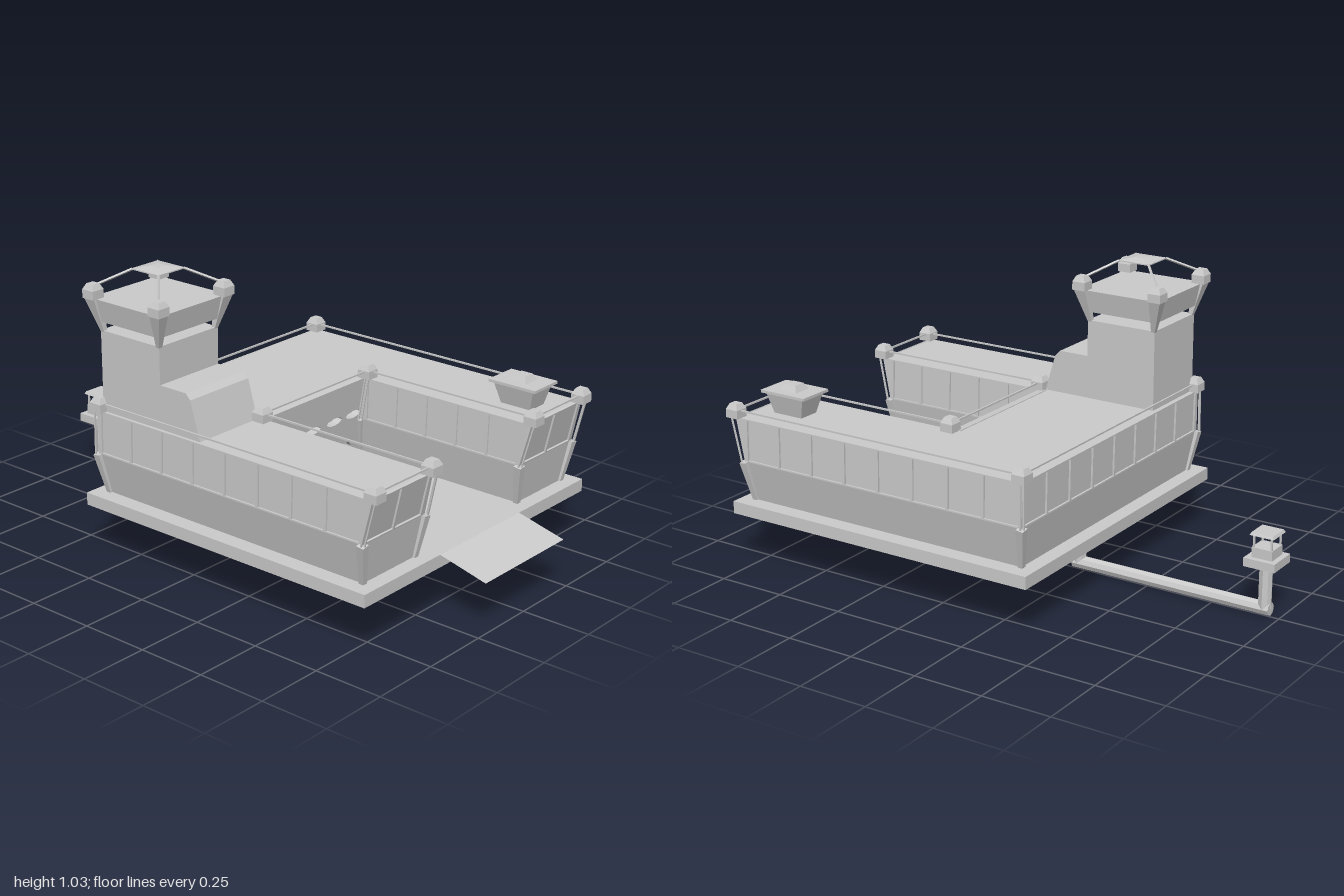
import * as THREE from 'three';

const mat = new THREE.MeshStandardMaterial({ color: 0xcccccc, flatShading: true, side: THREE.DoubleSide });
const V = (x, y, z) => new THREE.Vector3(x, y, z);

export function createModel() {
  const root = new THREE.Group();

  const add = (name, geo, x = 0, y = 0, z = 0) => {
    const m = new THREE.Mesh(geo, mat);
    m.name = name;
    m.position.set(x, y, z);
    root.add(m);
    return m;
  };
  // Box standing on y, with its top face resized to w1 x d1
  const block = (name, x, y, z, w, h, d, w1 = w, d1 = d) => {
    const g = new THREE.BoxGeometry(w, h, d).translate(0, h / 2, 0);
    const p = g.attributes.position;
    for (let i = 0; i < p.count; i++) {
      if (p.getY(i) > h / 2) p.setXYZ(i, p.getX(i) * w1 / w, h, p.getZ(i) * d1 / d);
    }
    return add(name, g, x, y, z);
  };
  // Square bar between two points, optionally tapered
  const bar = (name, a, b, t0, t1 = t0) => {
    const dir = b.clone().sub(a);
    const g = new THREE.CylinderGeometry(t1 * Math.SQRT1_2, t0 * Math.SQRT1_2, dir.length(), 4).rotateY(Math.PI / 4);
    const m = add(name, g);
    m.position.copy(a).add(b).multiplyScalar(0.5);
    m.quaternion.setFromUnitVectors(V(0, 1, 0), dir.normalize());
  };
  // Chamfered corner cap
  const cap = (x, y, z) => {
    block('capBase', x, y, z, 0.05, 0.03, 0.05);
    block('capTop', x, y + 0.03, z, 0.05, 0.02, 0.05, 0.03, 0.03);
  };
  const poly = (pts) => new THREE.Shape(pts.map(([x, y]) => new THREE.Vector2(x, y)));
  // Open sheet made of four-cornered faces
  const sheet = (name, quads) => {
    const g = new THREE.BufferGeometry().setFromPoints(quads.flatMap(([a, b, c, d]) => [a, b, c, a, c, d]));
    g.computeVertexNormals();
    add(name, g);
  };

  // Base slab, open underneath, and entrance ramp
  const rim = (y) => [V(-0.605, y, 0.82), V(0.605, y, 0.82), V(0.605, y, -0.4), V(-0.605, y, -0.4)];
  const rimLow = rim(0.18), rimTop = rim(0.225);
  sheet('baseSlab', [rimTop, ...rimLow.map((p, k) => [p, rimLow[(k + 1) % 4], rimTop[(k + 1) % 4], rimTop[k]])]);
  sheet('ramp', [[V(-0.22, 0.18, 1), V(0.22, 0.18, 1), V(0.22, 0.225, 0.82), V(-0.22, 0.225, 0.82)]]);

  // U-shaped building: the same outline at three heights
  const outline = (y, X, F, i, c, B) => [
    V(-X, y, F), V(-i, y, F), V(-i, y, c), V(i, y, c), V(i, y, F), V(X, y, F), V(X, y, B), V(-X, y, B)];
  const low = outline(0.225, 0.545, 0.765, 0.285, 0.085, -0.345);
  const mid = outline(0.37, 0.575, 0.785, 0.262, 0.0995, -0.365);
  const top = outline(0.525, 0.572, 0.82, 0.268, 0.115, -0.368);
  const paneCount = [2, 5, 0, 5, 2, 8, 8, 8];
  const lowerWalls = [];
  for (let k = 0; k < 8; k++) {
    if (k === 2) continue; // the courtyard back wall is made below
    const n = (k + 1) % 8;
    lowerWalls.push([low[k], low[n], mid[n], mid[k]]);
    // Window band: a frame with recessed panes, drawn flat and set on the wall plane
    const u = mid[n].clone().sub(mid[k]).normalize();
    const rise = top[k].clone().sub(mid[k]);
    const s0 = rise.dot(u);
    const v = rise.clone().addScaledVector(u, -s0).normalize();
    const h = rise.dot(v), L = mid[k].distanceTo(mid[n]), s1 = top[n].clone().sub(mid[k]).dot(u);
    const corners = [[0, 0], [L, 0], [s1, h], [s0, h]];
    const frame = poly(corners);
    const m = 0.005, N = paneCount[k];
    const a = 0.01, step = (Math.min(L, s1) - Math.max(0, s0) - 2 * a) / N;
    for (let j = 0; j < N; j++) {
      const l = Math.max(0, s0) + a + j * step + m, r = l + step - 2 * m;
      frame.holes.push(poly([[l, m], [l, h - m], [r, h - m], [r, m]]));
    }
    const place = new THREE.Matrix4().makeBasis(u, v, u.clone().cross(v)).setPosition(mid[k]);
    add('windowFrame', new THREE.ExtrudeGeometry(frame, { depth: 0.008, bevelEnabled: false }).translate(0, 0, -0.008).applyMatrix4(place));
    add('windowPanes', new THREE.ShapeGeometry(poly(corners)).translate(0, 0, -0.007).applyMatrix4(place));
  }
  sheet('lowerWalls', lowerWalls);
  add('roof', new THREE.ShapeGeometry(poly(top.map((p) => [p.x, -p.z]))).rotateX(-Math.PI / 2), 0, 0.525, 0);

  // Courtyard back wall with doorways and long windows
  const court = poly([[-0.285, 0], [0.285, 0], [0.264, 0.146], [0.268, 0.3015], [-0.268, 0.3015], [-0.264, 0.146]]);
  for (const [x, w] of [[-0.19, 0.035], [0, 0.0475], [0.19, 0.035]]) {
    court.holes.push(poly([[x - w, 0.001], [x - w, 0.05], [x - w + 0.015, 0.07], [x + w - 0.015, 0.07], [x + w, 0.05], [x + w, 0.001]]));
  }
  for (const x of [-0.221, -0.116, 0, 0.116, 0.221]) {
    const slot = new THREE.Path();
    slot.absellipse(x, 0.174, 0.041, 0.014, 0, Math.PI * 2);
    court.holes.push(slot);
  }
  const courtWall = add('courtyardWall', new THREE.ExtrudeGeometry(court, { depth: 0.03, bevelEnabled: false, curveSegments: 6 }).translate(0, 0, -0.03), 0, 0.225, 0.085);
  const doors = add('doorPanels', new THREE.PlaneGeometry(0.54, 0.29).translate(0, 0.146, -0.029), 0, 0.225, 0.085);
  courtWall.rotation.x = doors.rotation.x = Math.atan(0.1);

  // Corner buttresses, struts, caps and roof railing
  const caps = [[-0.565, 0.823], [-0.28, 0.823], [-0.28, 0.118], [0.28, 0.118], [0.28, 0.823], [0.565, 0.823], [0.565, -0.36], [-0.565, -0.36]];
  caps.forEach(([x, z], k) => {
    const inner = k > 0 && k < 5;
    const ox = Math.sign(x) * (inner ? -1 : 1), oz = k > 5 ? -1 : 1;
    bar('cornerButtress', low[k], mid[k], 0.018, 0.028);
    // Two thin struts standing just off the corner
    for (const [sx, sz] of [[0.011, 0.003], [0.003, 0.011]]) {
      bar('cornerStrut', mid[k].clone().add(V(ox * sx, 0, oz * sz)), V(x + ox * (sx + 0.009), 0.54, z + oz * (sz + 0.004)), 0.005);
    }
    cap(x, 0.525, z);
    const [nx, nz] = caps[(k + 1) % 8];
    bar('roofRail', V(x, 0.55, z), V(nx, 0.55, nz), 0.006);
  });

  // Control tower with its sloped front annex
  const tx = -0.42, tz = -0.215;
  block('towerBody', tx, 0.525, tz, 0.28, 0.287, 0.27);
  const annex = poly([[0.09, 0.525], [-0.095, 0.525], [-0.055, 0.66], [-0.035, 0.68], [0.09, 0.68]]);
  add('towerAnnex', new THREE.ExtrudeGeometry(annex, { depth: 0.28, bevelEnabled: false }).rotateY(Math.PI / 2), -0.56, 0, 0);
  block('lookoutBand', tx, 0.845, tz, 0.296, 0.08, 0.29, 0.326, 0.32);
  block('lookoutRoofPlate', tx, 1.018, tz, 0.125, 0.004, 0.125);
  block('lookoutRoofPeak', tx, 1.022, tz, 0.125, 0.008, 0.125, 0.04, 0.04);
  for (const sx of [-1, 1]) {
    for (const sz of [-1, 1]) {
      const x = tx + sx * 0.155, z = tz + sz * 0.151;
      bar('lookoutPost', V(tx + sx * 0.132, 0.805, tz + sz * 0.127), V(x, 0.935, z), 0.014, 0.045);
      cap(x, 0.925, z);
      bar('roofHip', V(x, 0.965, z), V(tx + sx * 0.06, 1.02, tz + sz * 0.06), 0.007);
    }
  }

  // Roof vent
  block('ventBody', 0.42, 0.525, 0.68, 0.08, 0.075, 0.12, 0.115, 0.16);
  block('ventPlate', 0.42, 0.6, 0.68, 0.135, 0.01, 0.19);
  block('ventCap', 0.42, 0.61, 0.68, 0.07, 0.022, 0.07, 0.045, 0.045);

  // Pipe below the base leading to the outlying air shaft
  const px = -0.008, z0 = -0.225, z1 = -0.943, r = 0.0235;
  const pipe = (len) => new THREE.CylinderGeometry(r, r, len, 8);
  for (const z of [z0, z1]) add('pipeRiser', pipe(0.165), px, 0.1055, z);
  add('pipeRun', pipe(z0 - z1 + 0.044).rotateX(Math.PI / 2), px, r, (z0 + z1) / 2);
  block('shaftPlatform', px, 0.18, z1, 0.114, 0.03, 0.114);
  block('shaftBox', px, 0.21, z1, 0.075, 0.035, 0.075);
  for (const sx of [-1, 1]) {
    for (const sz of [-1, 1]) {
      block('shaftPost', px + sx * 0.032, 0.24, z1 + sz * 0.032, 0.006, 0.05, 0.006);
    }
  }
  block('shaftRoof', px, 0.288, z1, 0.088, 0.01, 0.088, 0.078, 0.078);

  return root;
}
